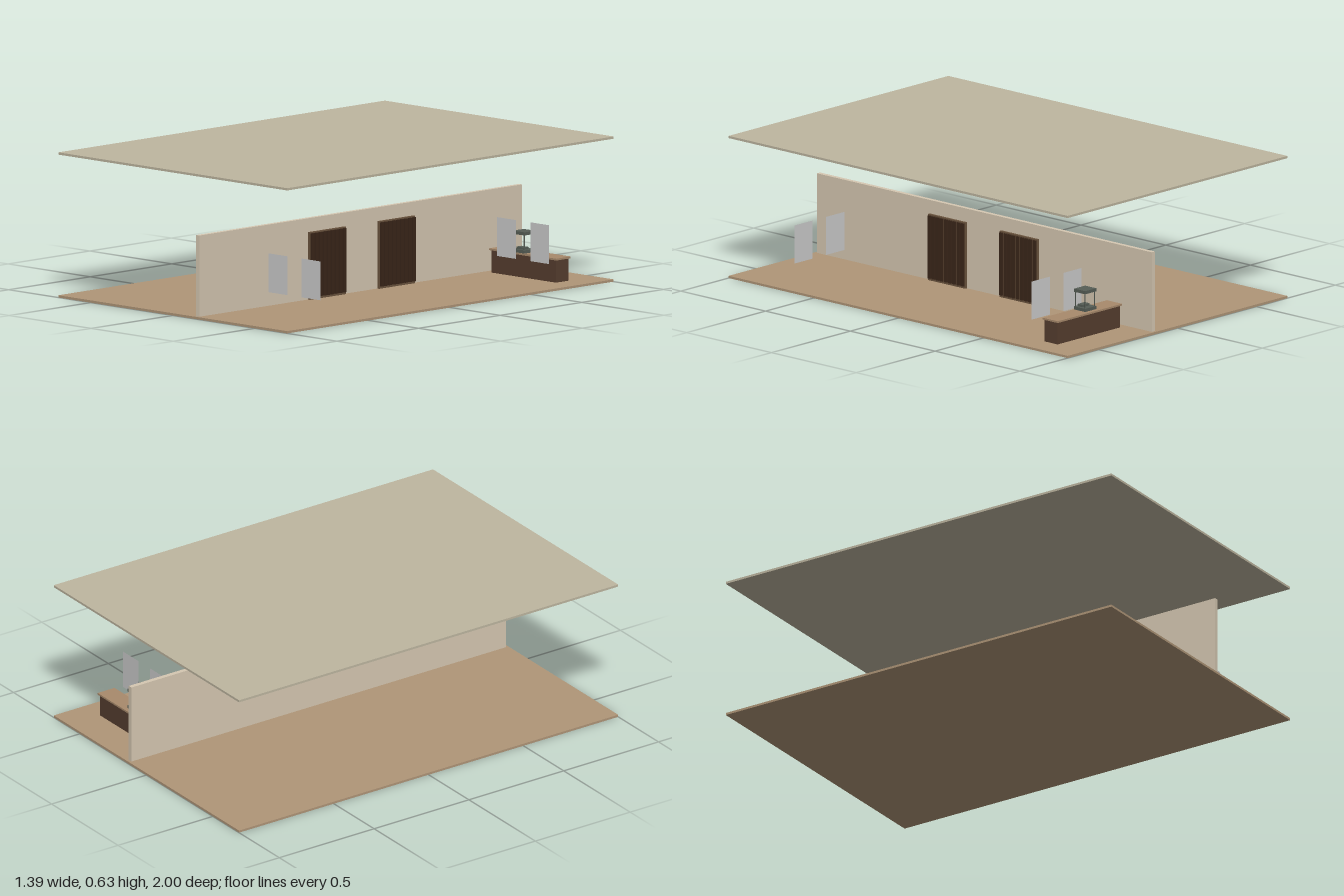
import * as THREE from 'three';

const mat = (color) => new THREE.MeshStandardMaterial({ color });

const floorMat = mat(0xb09678);
const ceilingMat = mat(0xbeb6a0);
const wallMat = mat(0xd6c8b2);
const darkWood = mat(0x563e2f);
const paleWood = mat(0xa88a6c);
const backingMat = mat(0x6b543e);
const slatMat = mat(0x3a2619);
const metalMat = mat(0x565e56);
const panelMat = mat(0xcccccc);
panelMat.side = THREE.DoubleSide;

// Box given by its lower and upper limits on each axis
function block(parent, name, material, [x0, x1], [y0, y1], [z0, z1]) {
  const mesh = new THREE.Mesh(new THREE.BoxGeometry(x1 - x0, y1 - y0, z1 - z0), material);
  mesh.position.set((x0 + x1) / 2, (y0 + y1) / 2, (z0 + z1) / 2);
  mesh.name = name;
  parent.add(mesh);
  return mesh;
}

// Backing board on the wall with a row of upright slats in front
function slatScreen(zCentre) {
  const group = new THREE.Group();
  group.name = 'slatScreen';
  const width = 0.22, count = 9, pitch = width / count;
  block(group, 'screenBacking', backingMat, [0.15, 0.162], [0.01, 0.305], [-width / 2, width / 2]);
  for (let i = 0; i < count; i++) {
    const z = (i + 0.5) * pitch - width / 2;
    block(group, 'slat', slatMat, [0.161, 0.17], [0.02, 0.3], [z - 0.008, z + 0.008]);
  }
  group.position.z = zCentre;
  return group;
}

// Small open stand on the counter: base, tray, four posts and a top
function counterStand() {
  const group = new THREE.Group();
  group.name = 'counterStand';
  block(group, 'standBase', metalMat, [-0.035, 0.035], [0, 0.015], [-0.033, 0.033]);
  block(group, 'standTray', metalMat, [-0.022, 0.022], [0.015, 0.025], [-0.005, 0.024]);
  block(group, 'standTop', metalMat, [-0.035, 0.035], [0.08, 0.094], [-0.033, 0.033]);
  for (const x of [-0.03, 0.03]) for (const z of [-0.028, 0.028]) {
    const post = new THREE.Mesh(new THREE.CylinderGeometry(0.002, 0.002, 0.067, 8), metalMat);
    post.position.set(x, 0.047, z);
    post.name = 'standPost';
    group.add(post);
  }
  group.position.set(0.36, 0.115, -0.79);
  return group;
}

export function createModel() {
  const model = new THREE.Group();
  model.name = 'pavilion';

  // Shell
  block(model, 'floor', floorMat, [-0.697, 0.697], [0, 0.01], [-1, 1]);
  block(model, 'ceiling', ceilingMat, [-0.697, 0.697], [0.625, 0.635], [-1, 1]);
  block(model, 'partitionWall', wallMat, [0.13, 0.15], [0.01, 0.365], [-0.988, 0.988]);

  // Slatted screens
  for (const z of [0.212, -0.212]) model.add(slatScreen(z));

  // Counter
  const counter = new THREE.Group();
  counter.name = 'counter';
  block(counter, 'counterBase', darkWood, [0.19, 0.584], [0.01, 0.108], [-0.836, -0.76]);
  block(counter, 'counterTop', paleWood, [0.183, 0.591], [0.108, 0.116], [-0.843, -0.754]);
  model.add(counter, counterStand());

  // Free-hanging thin panels, a pair near each end
  for (const x of [0.343, 0.545]) for (const z of [0.7, -0.7]) {
    const panel = new THREE.Mesh(new THREE.PlaneGeometry(0.115, 0.17), panelMat);
    panel.position.set(x, 0.185, z);
    panel.name = 'hangingPanel';
    model.add(panel);
  }
  return model;
}
